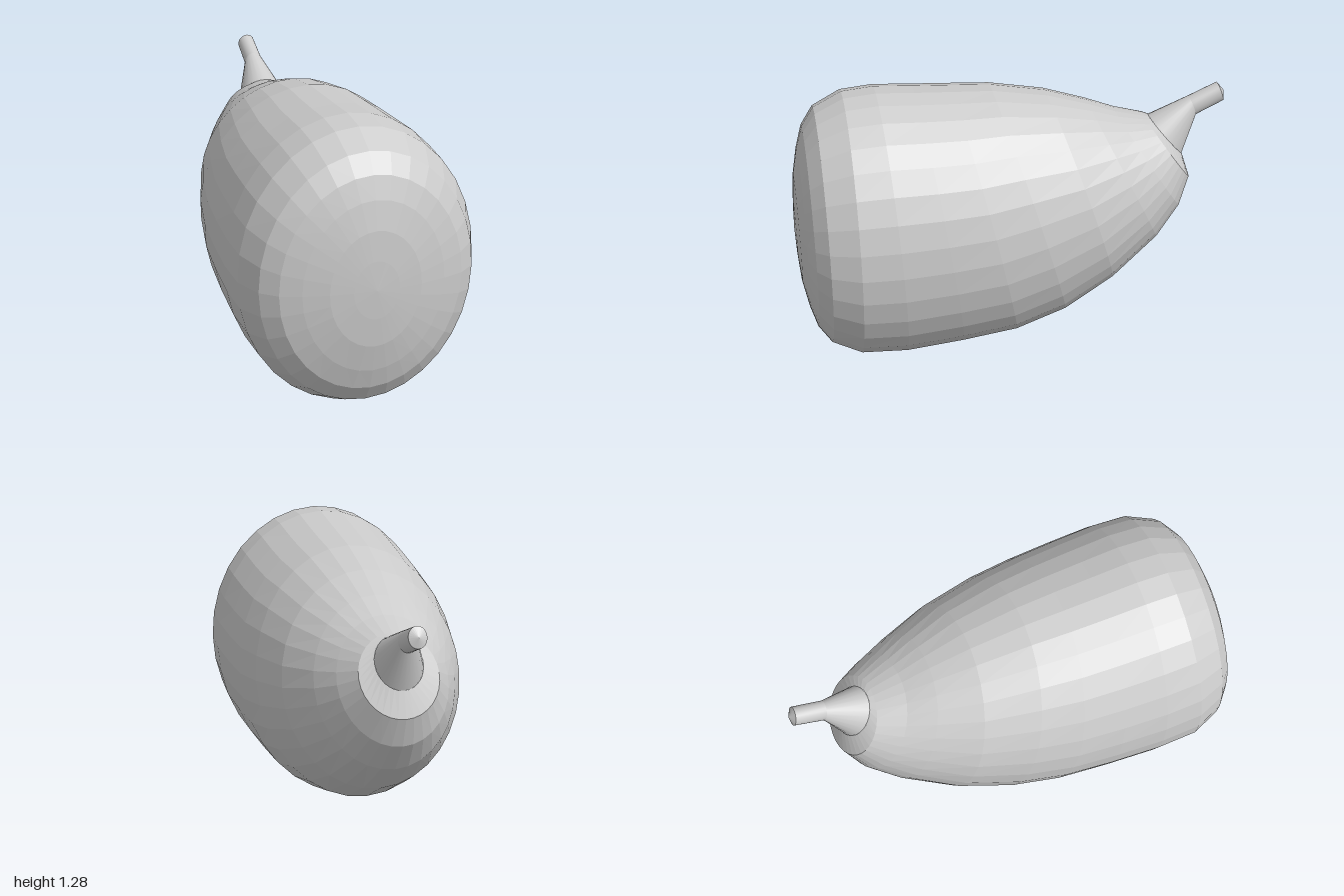
import * as THREE from 'three';

// Elliptical loft along z. Each ring is [zTop, yTop, zBottom, yBottom, halfWidth];
// a halfWidth of 0 closes the surface to a point.
function loft(rings, sides) {
  const pos = [], index = [];
  for (const [zt, yt, zb, yb, w] of rings) {
    for (let i = 0; i < sides; i++) {
      const a = (i / sides) * Math.PI * 2, c = Math.cos(a);
      pos.push(Math.sin(a) * w, (yt + yb) / 2 + c * (yt - yb) / 2, (zt + zb) / 2 + c * (zt - zb) / 2);
    }
  }
  for (let r = 0; r < rings.length - 1; r++) {
    for (let i = 0; i < sides; i++) {
      const j = (i + 1) % sides, p = r * sides, q = p + sides;
      if (rings[r][4] > 0) index.push(p + i, p + j, q + i);
      if (rings[r + 1][4] > 0) index.push(p + j, q + j, q + i);
    }
  }
  const g = new THREE.BufferGeometry();
  g.setAttribute('position', new THREE.Float32BufferAttribute(pos, 3));
  g.setIndex(index);
  g.computeVertexNormals();
  return g;
}

export function createModel() {
  const group = new THREE.Group();
  const add = (name, rings, sides, flatShading) => {
    const mesh = new THREE.Mesh(loft(rings, sides), new THREE.MeshStandardMaterial({ color: 0xcccccc, flatShading }));
    mesh.name = name;
    group.add(mesh);
  };

  // Upright rings of the blunt front end: [z, halfWidth, halfHeight]
  const mid = 0.645;
  const front = [
    [1.0, 0, 0], [0.995, 0.1, 0.13], [0.985, 0.2, 0.26], [0.96, 0.31, 0.385],
    [0.93, 0.4, 0.482], [0.873, 0.47, 0.565], [0.745, 0.525, 0.628],
  ].map(([z, w, h]) => [z, mid + h, z, mid - h, w]);

  const base = [-0.65, 1.055, -0.81, 0.865, 0.105];
  const neck = [-0.835, 1.14, -0.87, 1.05, 0.042];
  const tip = [-0.967, 1.198, -0.998, 1.11, 0.04];

  // Body: rings lean progressively so the narrow end turns upward
  add('body', [
    ...front,
    [0.6, 1.285, 0.53, 0.003, 0.532],
    [0.43, 1.272, 0.26, 0.025, 0.523],
    [0.26, 1.261, 0, 0.055, 0.508],
    [0.08, 1.25, -0.24, 0.135, 0.475],
    [-0.17, 1.205, -0.47, 0.275, 0.41],
    [-0.36, 1.145, -0.69, 0.46, 0.315],
    [-0.49, 1.095, -0.8, 0.61, 0.245],
    [-0.625, 1.06, -0.845, 0.75, 0.175],
    base,
  ], 32, true);

  // Stem: flared collar, thin stalk and a slightly pointed end
  add('stemCollar', [base, neck], 24, false);
  add('stemStalk', [neck, tip], 24, false);
  add('stemEnd', [tip, [-1.0, 1.158, -1.0, 1.158, 0]], 24, true);

  return group;
}
